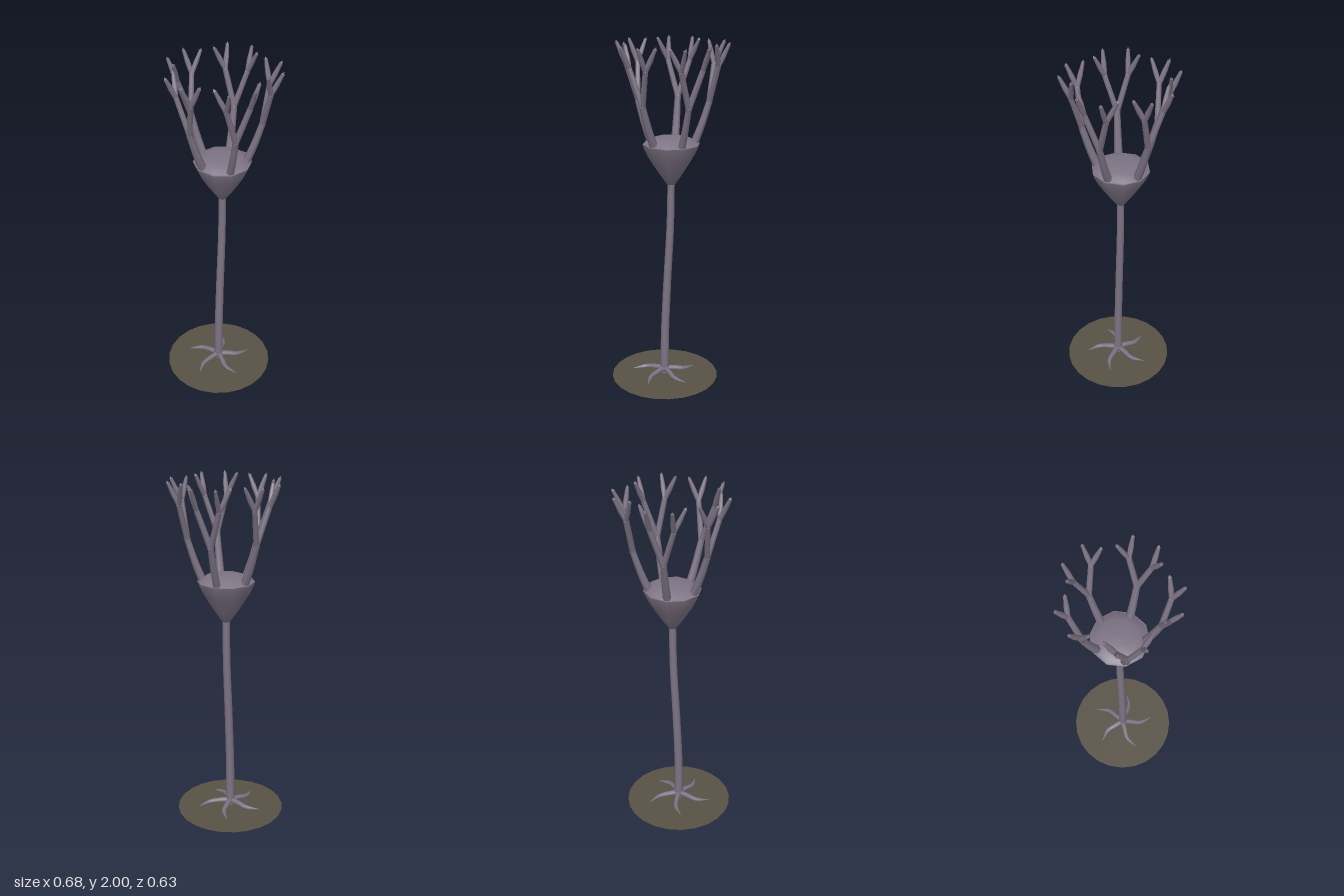
import * as THREE from 'three';

const crinoidGrey = new THREE.MeshStandardMaterial({ name: 'crinoid grey', color: 0x7d7484, side: THREE.DoubleSide });
const seabedBrown = new THREE.MeshStandardMaterial({ name: 'seabed brown', color: 0x575145, side: THREE.DoubleSide });

const V = (x, y, z) => new THREE.Vector3(x, y, z);

function addMesh(parent, name, geometry, material = crinoidGrey) {
  const mesh = new THREE.Mesh(geometry, material);
  mesh.name = name;
  parent.add(mesh);
  return mesh;
}

// Tube along points whose radius follows evenly spaced values
function taperedTube(points, radii, sides = 6, steps = 6) {
  const curve = points.length === 2
    ? new THREE.LineCurve3(points[0], points[1])
    : new THREE.CatmullRomCurve3(points);
  const geometry = new THREE.TubeGeometry(curve, steps, 1, sides);
  const pos = geometry.attributes.position;
  const v = new THREE.Vector3();
  for (let ring = 0; ring <= steps; ring++) {
    const centre = curve.getPointAt(ring / steps);
    const t = (ring / steps) * (radii.length - 1);
    const k = Math.min(Math.floor(t), radii.length - 2);
    const r = THREE.MathUtils.lerp(radii[k], radii[k + 1], t - k);
    for (let s = 0; s <= sides; s++) {
      const i = ring * (sides + 1) + s;
      v.fromBufferAttribute(pos, i).sub(centre).multiplyScalar(r).add(centre);
      pos.setXYZ(i, v.x, v.y, v.z);
    }
  }
  return geometry;
}

// Pointed spine from a position along a direction
function addSpine(parent, base, direction, length, radius) {
  const spine = addMesh(parent, 'spine', new THREE.ConeGeometry(radius, length, 4));
  const dir = direction.clone().normalize();
  spine.quaternion.setFromUnitVectors(V(0, 1, 0), dir);
  spine.position.copy(base).addScaledVector(dir, length / 2);
}

// Twig with a small crown of spines at its end
function addTwig(parent, from, to) {
  addMesh(parent, 'twig', taperedTube([from, to], [0.013, 0.0145, 0.009], 6, 4));
  const dir = to.clone().sub(from).normalize();
  addSpine(parent, to, dir, 0.014, 0.009);
  const side = V(0, 0, 1).cross(dir).normalize();
  for (let i = 0; i < 5; i++) {
    const out = side.clone().applyAxisAngle(dir, (i * Math.PI * 2) / 5);
    addSpine(parent, to.clone().addScaledVector(dir, -0.006), out.addScaledVector(dir, 0.5), 0.014, 0.004);
  }
}

// Arm that points along +x and forks twice
function makeArm() {
  const arm = new THREE.Group();
  arm.name = 'arm';
  const fork = V(0.212, 1.665, 0);
  addMesh(arm, 'lowerArm', taperedTube(
    [V(0.125, 1.42, 0), V(0.172, 1.54, 0), fork], [0.024, 0.021, 0.018], 6, 6));
  addMesh(arm, 'forkJoint', new THREE.SphereGeometry(0.018, 8, 6)).position.copy(fork);
  for (const side of [-1, 1]) {
    const split = V(0.247, 1.865, side * 0.062);
    addMesh(arm, 'branch', taperedTube([fork, split], [0.017, 0.015], 6, 2));
    addMesh(arm, 'branchJoint', new THREE.SphereGeometry(0.015, 8, 6)).position.copy(split);
    addTwig(arm, split, V(0.304, 1.985, side * 0.068));
    addTwig(arm, split, V(0.227, 1.985, side * 0.117));
  }
  return arm;
}

export function createModel() {
  const model = new THREE.Group();
  model.name = 'seaLily';
  const footX = -0.02, headX = 0.018;

  // Flat patch of seabed
  const disc = addMesh(model, 'seabedDisc', new THREE.CircleGeometry(0.317, 24), seabedBrown);
  disc.rotation.x = -Math.PI / 2;
  disc.position.x = footX;

  // Five curling roots
  for (let i = 0; i < 5; i++) {
    const a = THREE.MathUtils.degToRad(-106 + i * 72);
    const at = (r, y, turn) => V(footX + r * Math.cos(a + turn), y, r * Math.sin(a + turn));
    addMesh(model, 'root', taperedTube(
      [V(footX, 0.037, 0), at(0.06, 0.032, 0.24), at(0.12, 0.022, 0.22), at(0.195, 0.012, 0)],
      [0.018, 0.016, 0.013, 0.001], 6, 9));
  }

  // Gently leaning stalk
  addMesh(model, 'stalk', taperedTube(
    [V(footX, 0.01, 0), V(-0.019, 0.25, 0), V(-0.005, 0.6, 0), V(0.013, 0.95, 0), V(headX, 1.22, 0)],
    [0.026, 0.021], 8, 12));

  // Cup and its domed lid
  const lathe = (points) => new THREE.LatheGeometry(points.map(([r, y]) => new THREE.Vector2(r, y)), 10);
  const cup = addMesh(model, 'cup', lathe(
    [[0.001, 1.2], [0.024, 1.2], [0.062, 1.254], [0.102, 1.315], [0.135, 1.37], [0.154, 1.41], [0.162, 1.435]]));
  cup.position.x = headX;
  const dome = addMesh(model, 'dome', lathe(
    [[0.162, 1.435], [0.151, 1.437], [0.135, 1.452], [0.1, 1.466], [0.05, 1.473], [0, 1.475]]));
  dome.position.x = headX;

  // Crown of five arms
  for (let i = 0; i < 5; i++) {
    const arm = makeArm();
    arm.position.x = headX;
    arm.rotation.y = Math.PI / 2 + (i * Math.PI * 2) / 5;
    model.add(arm);
  }
  return model;
}
